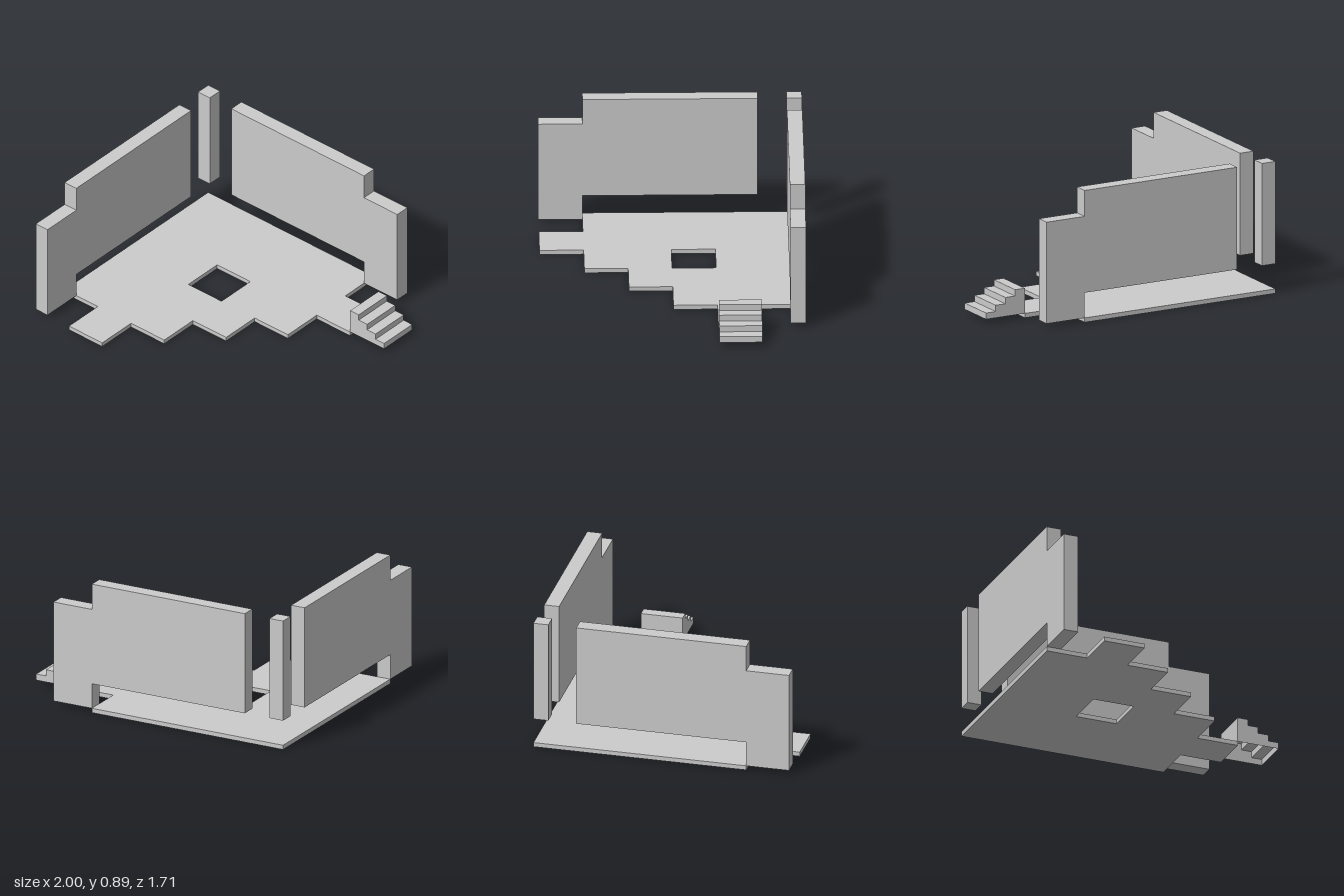
import * as THREE from 'three';

const T = 0.03;        // floor thickness
const WALL = 0.1;      // wall thickness
const LIFT = 0.2;      // underside of raised wall panels
const TOP = 0.89;
const LOW_TOP = 0.715;

const material = new THREE.MeshStandardMaterial({ color: 0xcccccc, side: THREE.DoubleSide });

const toShape = (points) => new THREE.Shape(points.map(([x, y]) => new THREE.Vector2(x, y)));
const extrude = (shape, depth) => new THREE.ExtrudeGeometry(shape, { depth, bevelEnabled: false });

function add(parent, name, geometry) {
  const mesh = new THREE.Mesh(geometry, material);
  mesh.name = name;
  parent.add(mesh);
  return mesh;
}

// Raised panel from a to b, with a lower leg reaching down from b to c
function wallShape(a, b, c) {
  return toShape([[a, LIFT], [b, LIFT], [b, T], [c, T], [c, LOW_TOP], [b, LOW_TOP], [b, TOP], [a, TOP]]);
}

// Open-bottomed flight of steps descending towards +x
function createStairs() {
  const stairs = new THREE.Group();
  stairs.name = 'stairs';
  const x0 = 0.71, x1 = 1, z0 = -0.57, z1 = -0.29, steps = 4;
  const run = (x1 - x0) / steps, rise = (LIFT - T) / steps;
  const width = z1 - z0, zMid = (z0 + z1) / 2;
  const profile = [[x0, T], [x1, T]];
  for (let i = 0; i < steps; i++) {
    const right = x1 - i * run, top = T + (i + 1) * rise;
    profile.push([right, top], [right - run, top]);
    add(stairs, 'tread', new THREE.PlaneGeometry(run, width).rotateX(-Math.PI / 2))
      .position.set(right - run / 2, top, zMid);
    add(stairs, 'riser', new THREE.PlaneGeometry(width, rise).rotateY(Math.PI / 2))
      .position.set(right, top - rise / 2, zMid);
  }
  const side = toShape(profile);
  add(stairs, 'leftSide', new THREE.ShapeGeometry(side)).position.z = z0;
  add(stairs, 'rightSide', new THREE.ShapeGeometry(side)).position.z = z1;
  add(stairs, 'stairBack', new THREE.PlaneGeometry(width, LIFT - T).rotateY(-Math.PI / 2))
    .position.set(x0, (LIFT + T) / 2, zMid);
  return stairs;
}

export function createModel() {
  const model = new THREE.Group();
  model.name = 'ruinedRoom';

  // Floor with a stepped broken edge and a square opening; outline given as x, z
  const flip = ([x, z]) => [x, -z];
  const outline = [
    [-1, -0.857], [0.425, -0.857], [0.425, -0.57], [0.71, -0.57], [0.71, -0.287],
    [0.425, -0.287], [0.425, 0], [0.14, 0], [0.14, 0.285], [-0.145, 0.285],
    [-0.145, 0.57], [-0.43, 0.57], [-0.43, 0.857], [-0.715, 0.857], [-0.715, 0.57], [-1, 0.57],
  ];
  const floor = toShape(outline.map(flip));
  const hole = [[-0.43, -0.287], [-0.145, -0.287], [-0.145, 0], [-0.43, 0]];
  floor.holes.push(toShape(hole.map(flip)));
  add(model, 'floor', extrude(floor, T).rotateX(-Math.PI / 2));

  // Walls along the back and the -x side
  add(model, 'backWall', extrude(wallShape(-0.715, 0.425, 0.71), WALL)).position.z = -0.857;
  add(model, 'sideWall', extrude(wallShape(-0.57, 0.57, 0.857), WALL).rotateY(-Math.PI / 2))
    .position.x = -1 + WALL;

  // Post above the corner between the walls
  add(model, 'cornerPost', new THREE.BoxGeometry(WALL, TOP - LIFT, WALL))
    .position.set(-1 + WALL / 2, (TOP + LIFT) / 2, -0.857 + WALL / 2);

  model.add(createStairs());
  return model;
}
